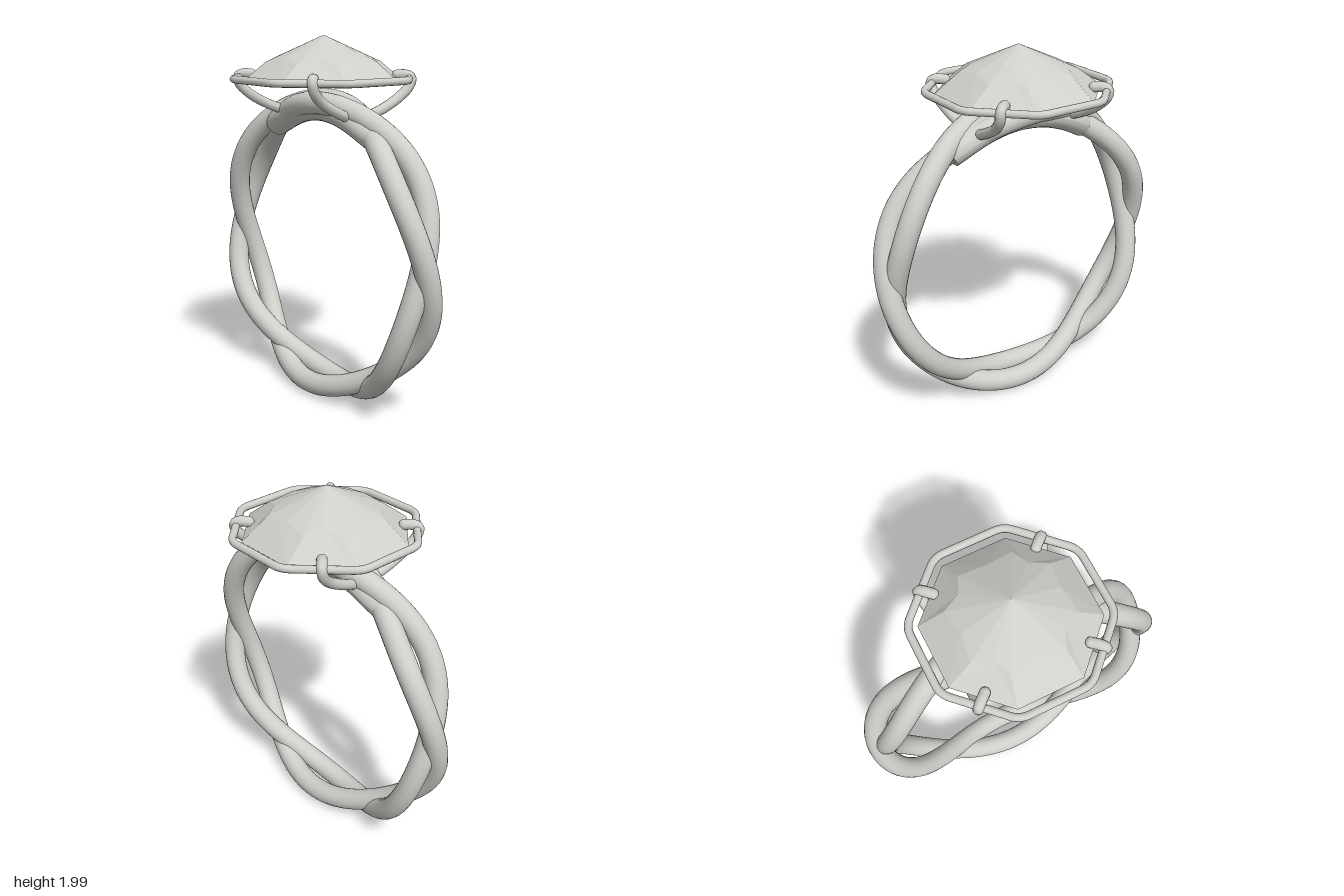
import * as THREE from 'three';

const CY = 0.86; // height of the band's centre

// One strand of the twisted band; sign picks which of the two
class StrandCurve extends THREE.Curve {
  constructor(sign) {
    super();
    this.sign = sign;
  }
  getPoint(t, target = new THREE.Vector3()) {
    const a = t * Math.PI * 2;
    const r = 0.79 + this.sign * 0.022 * Math.cos(3 * a);
    return target.set(r * Math.cos(a), CY + r * Math.sin(a), this.sign * 0.08 * Math.sin(3 * a));
  }
}

// Oval bar bent along the top of the band, narrowing at its ends
function collarGeometry() {
  const geo = new THREE.CylinderGeometry(1, 1, 2, 28, 40);
  const p = geo.attributes.position;
  for (let i = 0; i < p.count; i++) {
    const s = p.getY(i);
    const angle = Math.PI / 2 - s * 0.6;
    const taper = 1 - 0.3 * Math.pow(Math.abs(s), 6);
    const r = 0.762 + p.getX(i) * 0.074 * (1 - 0.1 * Math.pow(Math.abs(s), 6));
    p.setXYZ(i, r * Math.cos(angle), CY + r * Math.sin(angle), -p.getZ(i) * 0.1 * taper);
  }
  // keep the winding outward after the bend
  const idx = geo.index.array;
  const A = new THREE.Vector3(), B = new THREE.Vector3(), C = new THREE.Vector3();
  const axis = new THREE.Vector3();
  A.fromBufferAttribute(p, idx[600]);
  B.fromBufferAttribute(p, idx[601]);
  C.fromBufferAttribute(p, idx[602]);
  const normal = B.clone().sub(A).cross(C.clone().sub(A));
  const a = Math.atan2(A.y - CY, A.x);
  axis.set(0.762 * Math.cos(a), CY + 0.762 * Math.sin(a), 0);
  if (normal.dot(A.clone().sub(axis)) < 0) {
    for (let i = 0; i < idx.length; i += 3) [idx[i + 1], idx[i + 2]] = [idx[i + 2], idx[i + 1]];
  }
  geo.computeVertexNormals();
  return geo;
}

// The eight corners of a square with cut corners, in order around the y axis
function octagon(half, cut, y) {
  const pts = [];
  for (let k = 0; k < 4; k++) {
    const c = Math.round(Math.cos(k * Math.PI / 2)), s = Math.round(Math.sin(k * Math.PI / 2));
    for (const v of [-cut, cut]) pts.push(new THREE.Vector3(c * half - s * v, y, s * half + c * v));
  }
  return pts;
}

// Faceted stone: apex, star of sixteen points, octagonal girdle, flat base
function stoneGeometry() {
  const apex = new THREE.Vector3(0, 2, 0), base = new THREE.Vector3(0, 1.762, 0);
  const girdle = octagon(0.405, 0.17, 1.762);
  const star = octagon(0.275, 0.14, 1.862);
  const mids = girdle.map((g, i) => {
    const m = g.clone().add(girdle[(i + 1) % 8]).setY(0).setLength(0.255);
    return m.setY(1.885);
  });
  const out = [];
  const tri = (a, b, c) => out.push(...a.toArray(), ...c.toArray(), ...b.toArray());
  for (let i = 0; i < 8; i++) {
    const j = (i + 1) % 8;
    tri(apex, star[i], mids[i]);
    tri(apex, mids[i], star[j]);
    tri(star[i], girdle[i], mids[i]);
    tri(mids[i], girdle[i], girdle[j]);
    tri(mids[i], girdle[j], star[j]);
    tri(base, girdle[j], girdle[i]);
  }
  const geo = new THREE.BufferGeometry();
  geo.setAttribute('position', new THREE.Float32BufferAttribute(out, 3));
  geo.computeVertexNormals();
  return geo;
}

// Octagonal wire path with softened corners
function wirePath() {
  const pts = octagon(0.455, 0.185, 1.778);
  const path = new THREE.CurvePath();
  pts.forEach((p, i) => {
    const prev = pts[(i + 7) % 8], next = pts[(i + 1) % 8];
    const toward = (from, to) => from.clone().add(to.clone().sub(from).setLength(0.05));
    path.add(new THREE.QuadraticBezierCurve3(toward(p, prev), p, toward(p, next)));
    path.add(new THREE.LineCurve3(toward(p, next), toward(next, p)));
  });
  return path;
}

export function createModel() {
  const model = new THREE.Group();
  model.name = 'ring';
  const silver = new THREE.MeshStandardMaterial({ color: 0xcfcfca });
  silver.name = 'silver';

  const add = (name, geo, parent = model) => {
    const mesh = new THREE.Mesh(geo, silver);
    mesh.name = name;
    parent.add(mesh);
    return mesh;
  };

  // Twisted band
  add('strandA', new THREE.TubeGeometry(new StrandCurve(1), 240, 0.06, 20, true));
  add('strandB', new THREE.TubeGeometry(new StrandCurve(-1), 240, 0.06, 20, true));
  add('collar', collarGeometry());

  // Stone and the wire around it
  add('stone', stoneGeometry());
  add('settingWire', new THREE.TubeGeometry(wirePath(), 256, 0.02, 12, true));

  // Four prongs rising from the collar and hooking over the wire
  for (const sx of [-1, 1]) {
    for (const sz of [-1, 1]) {
      const prong = new THREE.Group();
      prong.name = `prong${sx > 0 ? 'Left' : 'Right'}${sz > 0 ? 'Front' : 'Back'}`;
      const pts = [
        [0.285, 1.59, 0.06], [0.3, 1.63, 0.16], [0.312, 1.685, 0.26],
        [0.326, 1.74, 0.315], [0.328, 1.782, 0.326], [0.305, 1.797, 0.305], [0.272, 1.795, 0.275],
      ].map(([x, y, z]) => new THREE.Vector3(x * sx, y, z * sz));
      const curve = new THREE.CatmullRomCurve3(pts);
      add('prongWire', new THREE.TubeGeometry(curve, 40, 0.027, 12), prong);
      [[pts[0], 0.031], [pts[pts.length - 1], 0.027]].forEach(([p, r]) => {
        add('prongTip', new THREE.SphereGeometry(r, 14, 10), prong).position.copy(p);
      });
      model.add(prong);
    }
  }
  return model;
}
